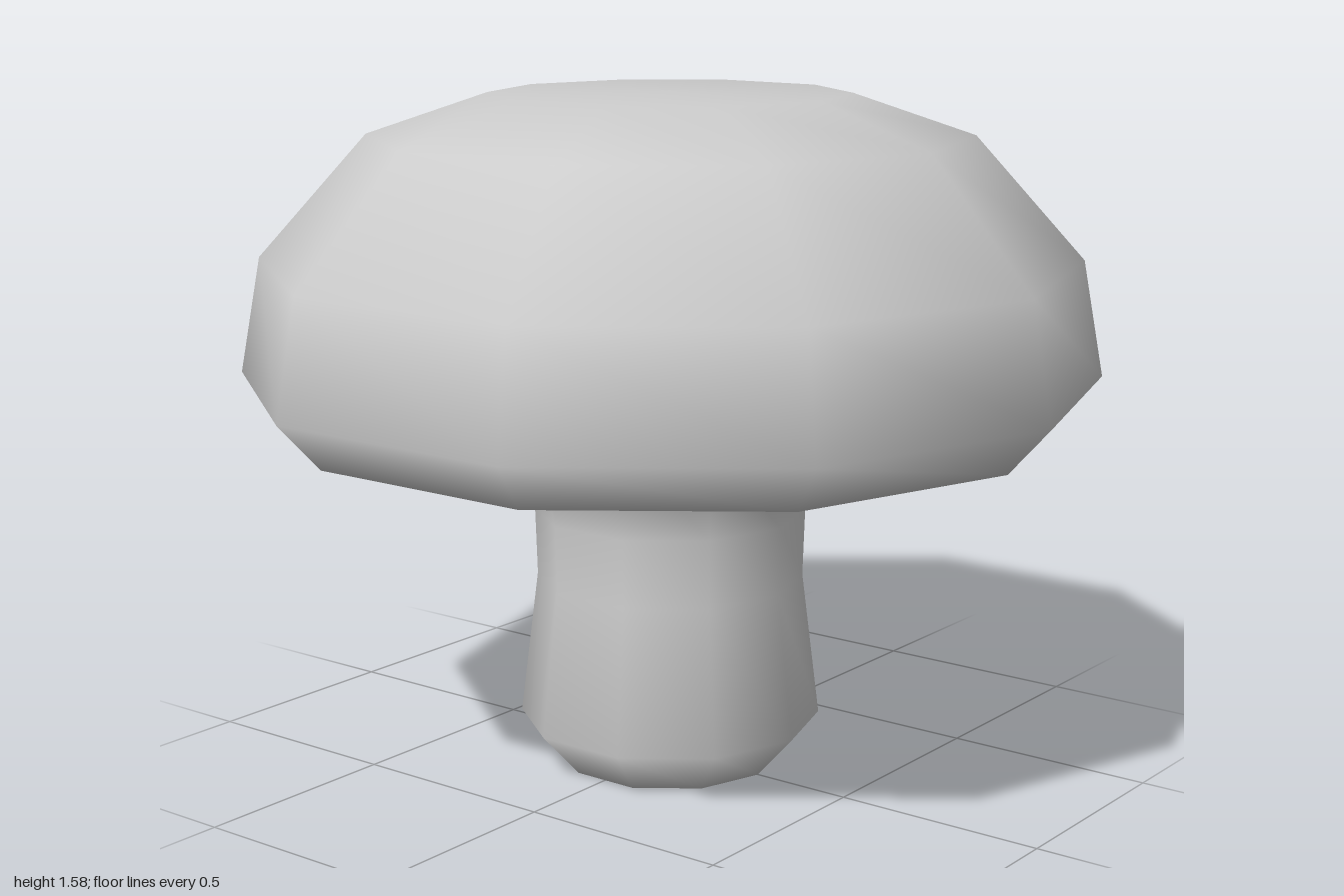
import * as THREE from 'three';

const SIDES = 10;

// Outline [radius, height], from the foot up the stem and over the cap
const profile = [
  [0, 0.005], [0.26, 0.005], [0.355, 0.11], [0.313, 0.45], [0.318, 0.61], [0.32, 0.82],
  [0.9, 0.82], [1, 0.93], [0.95, 1.2], [0.695, 1.485], [0.415, 1.58], [0, 1.585],
].map(([r, y]) => new THREE.Vector2(r, y));
const STEM_TOP = 5;

// One band of the revolved outline; the bands share normals so the joint shades smoothly
function band(name, from, to, material) {
  const geometry = new THREE.LatheGeometry(profile, SIDES, Math.PI / 2);
  const all = geometry.index.array;
  const rows = profile.length - 1;
  const kept = [];
  for (let q = 0; q < all.length / 6; q++) {
    const row = q % rows;
    if (row >= from && row < to) kept.push(...all.slice(q * 6, q * 6 + 6));
  }
  geometry.setIndex(kept);
  const mesh = new THREE.Mesh(geometry, material);
  mesh.name = name;
  return mesh;
}

export function createModel() {
  const group = new THREE.Group();
  group.name = 'mushroom';
  const material = new THREE.MeshStandardMaterial({ color: 0xcccccc });

  // Stem with a chamfered, slightly swollen foot
  group.add(band('stem', 0, STEM_TOP, material));

  // Domed cap with its flat underside
  group.add(band('cap', STEM_TOP, profile.length - 1, material));

  return group;
}
